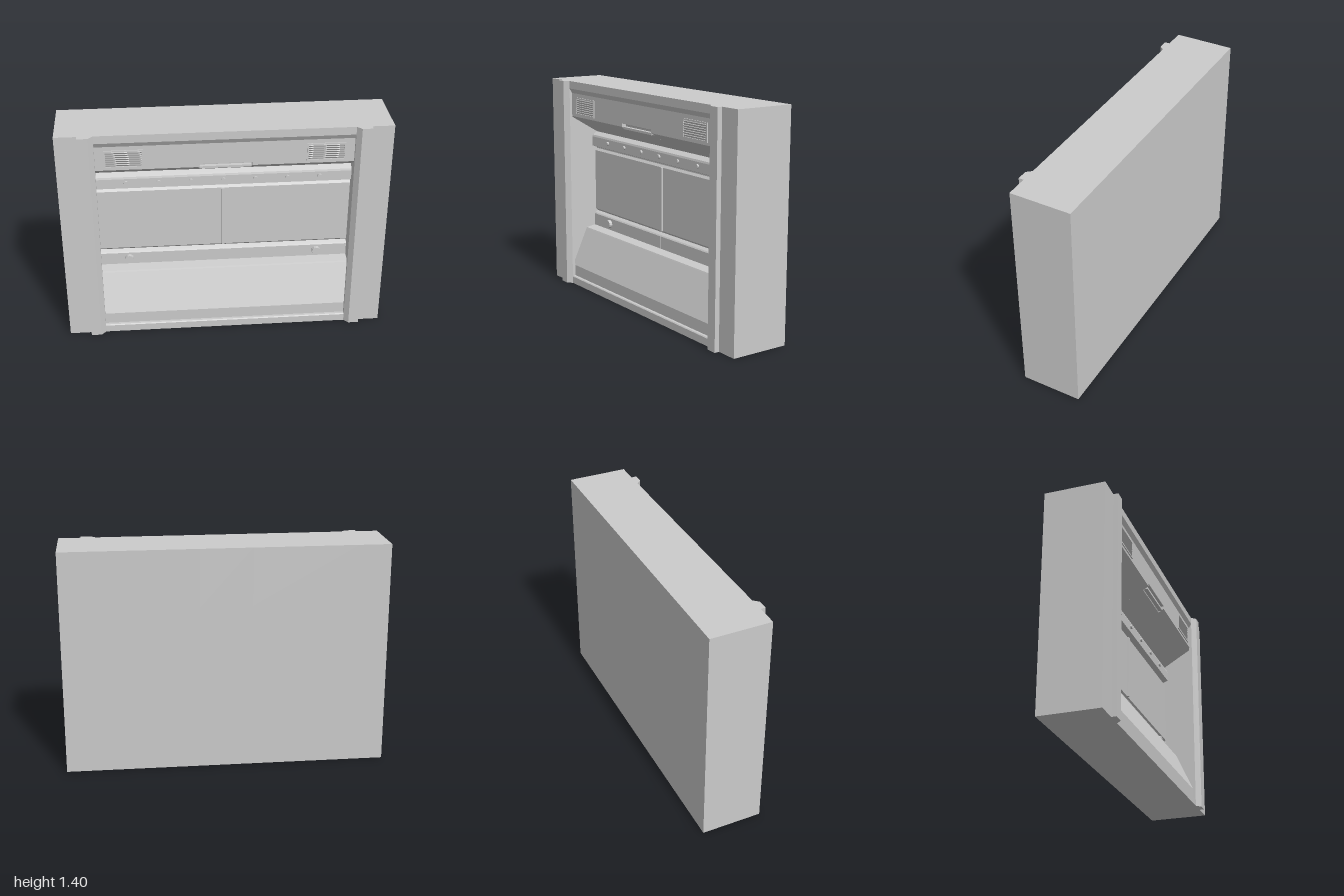
import * as THREE from 'three';

const material = new THREE.MeshStandardMaterial({ color: 0xcccccc, flatShading: true });
const HEIGHT = 1.4, BACK = -0.205, INNER = 0.8;

export function createModel() {
  const model = new THREE.Group();
  const add = (name, geometry, x = 0, y = 0, z = 0) => {
    const mesh = new THREE.Mesh(geometry, material);
    mesh.name = name;
    mesh.position.set(x, y, z);
    model.add(mesh);
    return mesh;
  };
  const box = (name, w, h, d, x, y, z) => add(name, new THREE.BoxGeometry(w, h, d), x, y, z);
  const extrude = (shape, depth) => new THREE.ExtrudeGeometry(shape, { depth, bevelEnabled: false });
  // Sweep a side profile of [z, y] points from x0 to x1
  const sweep = (name, profile, x0, x1) => {
    const shape = new THREE.Shape(profile.map(([z, y]) => new THREE.Vector2(-z, y)));
    add(name, extrude(shape, x1 - x0).rotateY(Math.PI / 2), x0);
  };

  // Side columns: plan outline with a raised, chamfered rib and a slim inner flange
  const plan = [[1, BACK], [1, 0.172], [0.865, 0.172], [0.865, 0.203], [0.8, 0.203],
    [0.772, 0.172], [0.772, 0.152], [INNER, 0.152], [INNER, BACK]];
  for (const s of [-1, 1]) {
    const shape = new THREE.Shape(plan.map(([x, z]) => new THREE.Vector2(s * x, -z)));
    add(s > 0 ? 'leftColumn' : 'rightColumn', extrude(shape, HEIGHT).rotateX(-Math.PI / 2));
  }

  // Console: kick lip, sloped apron, ledge, knob rail, screen wall and button rail
  sweep('console', [
    [BACK, 0], [0.172, 0], [0.172, 0.046], [0.167, 0.052], [0.15, 0.052], [0.15, 0.125],
    [0.04, 0.367], [0.036, 0.375], [-0.03, 0.385], [-0.03, 0.465], [-0.036, 0.473],
    [-0.055, 0.485], [-0.04, 0.5], [-0.04, 0.91], [-0.052, 0.925], [-0.052, 0.932],
    [-0.018, 0.945], [-0.018, 1.008], [-0.022, 1.02], [-0.055, 1.04], [BACK, 1.04],
  ], -INNER, INNER);

  // Hood with a stepped front and sloping underside; its middle has a grip notch
  const hoodTop = [[BACK, 1.04], [BACK, HEIGHT], [0.172, HEIGHT], [0.172, 1.35], [0.155, 1.32]];
  const hoodEnd = [[-0.055, 1.04]];
  const plain = [...hoodTop, [0.155, 1.165], ...hoodEnd];
  const notched = [...hoodTop, [0.155, 1.186], [0.135, 1.183], [0.124, 1.175],
    [0.12, 1.144], ...hoodEnd];
  sweep('hoodRight', plain, -INNER, -0.16);
  sweep('hoodMiddle', notched, -0.16, 0.16);
  sweep('hoodLeft', plain, 0.16, INNER);
  box('gripBar', 0.31, 0.014, 0.03, 0, 1.158, 0.132);

  // Vents: frame and downward tilted slats
  for (const s of [-1, 1]) {
    const frame = new THREE.Shape([[-0.117, -0.057], [0.117, -0.057], [0.117, 0.057], [-0.117, 0.057]]
      .map(([x, y]) => new THREE.Vector2(x, y)));
    frame.holes.push(new THREE.Path([[-0.107, -0.048], [-0.107, 0.048], [0.107, 0.048], [0.107, -0.048]]
      .map(([x, y]) => new THREE.Vector2(x, y))));
    add('ventFrame', extrude(frame, 0.009), s * 0.602, 1.238, 0.153);
    for (let i = 0; i < 7; i++) {
      const slat = box('ventSlat', 0.214, 0.012, 0.004, s * 0.602, 1.198 + i * 0.0133, 0.157);
      slat.rotation.x = 0.6;
    }
  }

  // Screen divider and the seam below it
  box('screenDivider', 0.018, 0.41, 0.014, 0, 0.705, -0.035);
  box('railSeam', 0.004, 0.08, 0.004, 0, 0.425, -0.03);

  // Button row and the two large knobs
  for (let i = -3; i <= 3; i++) {
    const button = new THREE.CylinderGeometry(0.013, 0.013, 0.014, 12).rotateX(Math.PI / 2);
    add('button', button, i * 0.2, 0.982, -0.013);
  }
  for (const s of [-1, 1]) {
    const knob = new THREE.CylinderGeometry(0.027, 0.028, 0.024, 12).rotateX(Math.PI / 2);
    add('knob', knob, s * 0.602, 0.427, -0.02);
  }
  return model;
}
